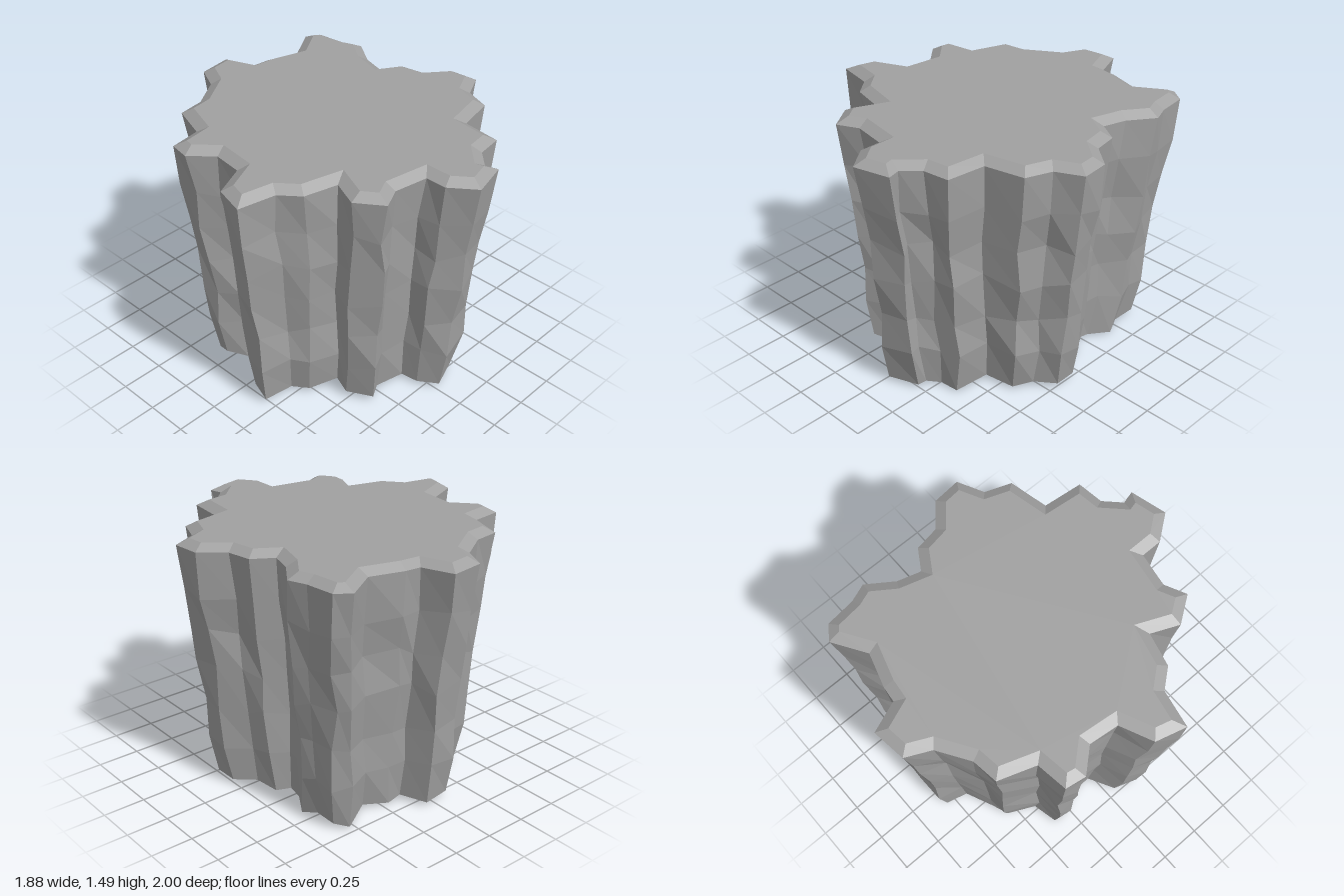
import * as THREE from 'three';

// Jagged rim outline as [x, z], clockwise seen from above
const RIM = [
  [-0.11, -0.975], [0.09, -1], [0.16, -0.82], [0.25, -0.81], [0.45, -0.75], [0.64, -0.87],
  [0.725, -0.81], [0.745, -0.635], [0.785, -0.53], [0.68, -0.38], [0.64, -0.245], [0.76, -0.17],
  [0.785, -0.025], [0.92, 0.085], [0.935, 0.25], [0.785, 0.325], [0.73, 0.475], [0.5, 0.525],
  [0.475, 0.755], [0.32, 0.775], [0.23, 0.865], [0.25, 0.94], [0.035, 0.995], [-0.075, 0.85],
  [-0.075, 0.725], [-0.275, 0.69], [-0.4, 0.75], [-0.505, 0.6], [-0.435, 0.44], [-0.63, 0.39],
  [-0.72, 0.28], [-0.94, 0.235], [-0.89, 0.055], [-0.7, -0.03], [-0.68, -0.205], [-0.795, -0.335],
  [-0.775, -0.455], [-0.59, -0.48], [-0.515, -0.695], [-0.36, -0.715], [-0.18, -0.83],
];
// Height and scale of each cross-section, bottom to rim
const LEVELS = [[0.02, 0.82], [0.27, 0.865], [0.5, 0.88], [0.75, 0.91], [0.98, 0.93], [1.21, 0.97], [1.46, 1]];
const TOP = 1.495, BEVEL = 0.06;

function seeded(seed) {
  return () => {
    seed = (seed * 16807) % 2147483647;
    return (seed / 2147483647) * 2 - 1;
  };
}

// Moves each outline corner inward by an even width
function inset(outline, width) {
  const n = outline.length;
  const normal = (a, b) => new THREE.Vector2(a[1] - b[1], b[0] - a[0]).normalize();
  return outline.map((p, i) => {
    const n1 = normal(outline[(i + n - 1) % n], p);
    const n2 = normal(p, outline[(i + 1) % n]);
    const shift = n1.clone().add(n2).multiplyScalar(width / Math.max(0.6, 1 + n1.dot(n2)));
    return [p[0] + shift.x, p[1] + shift.y];
  });
}

function geometryFrom(triangles) {
  const g = new THREE.BufferGeometry();
  g.setAttribute('position', new THREE.Float32BufferAttribute(triangles.flat(), 3));
  g.computeVertexNormals(); // unshared corners give flat facets
  return g;
}

// Wall strip between two rings
function strip(lower, upper) {
  const out = [];
  lower.forEach((a, i) => {
    const j = (i + 1) % lower.length;
    out.push(a, upper[i], upper[j], a, upper[j], lower[j]);
  });
  return out;
}

// Fills a ring, facing up or down
function cap(ring, up) {
  const contour = ring.map((p) => new THREE.Vector2(p[0], p[2]));
  const out = [];
  for (const face of THREE.ShapeUtils.triangulateShape(contour, [])) {
    const [a, b, c] = face.map((k) => ring[k]);
    const facing = (b[2] - a[2]) * (c[0] - a[0]) - (b[0] - a[0]) * (c[2] - a[2]);
    if ((facing > 0) === up) out.push(a, b, c);
    else out.push(a, c, b);
  }
  return out;
}

export function createModel() {
  const stone = new THREE.MeshStandardMaterial({ color: 0xa0a0a0, flatShading: true });
  stone.name = 'grey stone';
  const model = new THREE.Group();
  model.name = 'rockPillar';
  const add = (name, triangles) => {
    const mesh = new THREE.Mesh(geometryFrom(triangles), stone);
    mesh.name = name;
    model.add(mesh);
  };

  // Tapering rings with a slight wobble; the rim stays exact
  const rand = seeded(4217);
  const rings = LEVELS.map(([y, s], r) => {
    const wobble = r === LEVELS.length - 1 ? 0 : 0.016;
    return RIM.map(([x, z]) => [
      x * s + rand() * wobble,
      y + rand() * (r === 0 ? 0.02 : wobble * 1.8),
      z * s + rand() * wobble,
    ]);
  });
  const topRing = inset(RIM, BEVEL).map(([x, z]) => [x, TOP, z]);

  add('craggyWall', rings.slice(1).flatMap((ring, r) => strip(rings[r], ring)));
  add('rimBevel', strip(rings[rings.length - 1], topRing));
  add('flatTop', cap(topRing, true));
  add('underside', cap(rings[0], false));
  return model;
}
